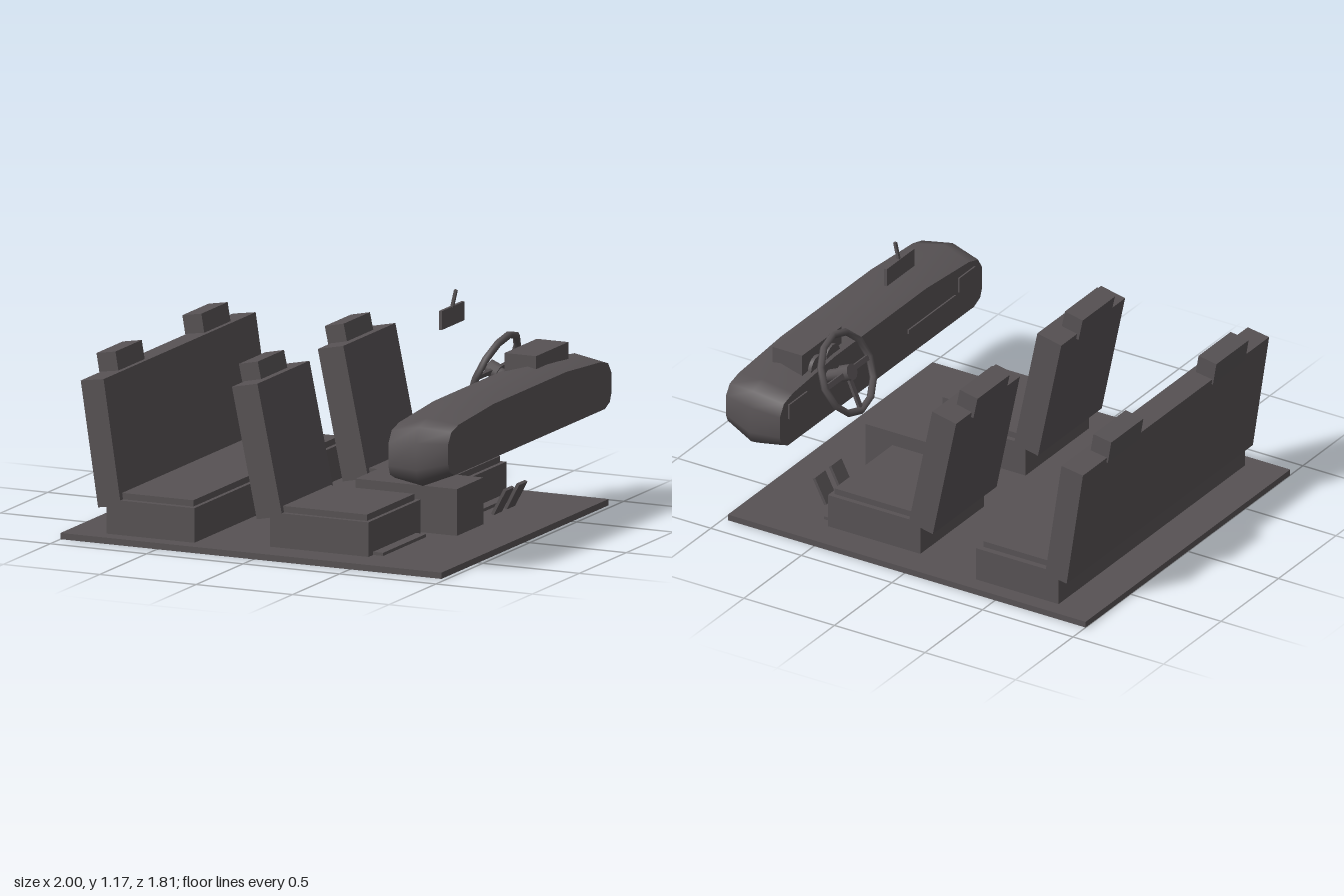
import * as THREE from 'three';

export function createModel() {
  const model = new THREE.Group();
  const trim = new THREE.MeshStandardMaterial({ color: 0x575254 });
  trim.name = 'darkGreyTrim';

  function add(name, geometry, parent = model) {
    const mesh = new THREE.Mesh(geometry, trim);
    mesh.name = name;
    parent.add(mesh);
    return mesh;
  }
  // Box given by its limits on each axis
  function box(name, x0, x1, y0, y1, z0, z1, parent) {
    const mesh = add(name, new THREE.BoxGeometry(x1 - x0, y1 - y0, z1 - z0), parent);
    mesh.position.set((x0 + x1) / 2, (y0 + y1) / 2, (z0 + z1) / 2);
    return mesh;
  }
  // Tilted slab running between two points of the xy plane
  function slab(name, [x0, y0], [x1, y1], thick, width, z, parent) {
    const dx = x1 - x0, dy = y1 - y0;
    const mesh = add(name, new THREE.BoxGeometry(thick, Math.hypot(dx, dy), width), parent);
    mesh.position.set((x0 + x1) / 2, (y0 + y1) / 2, z);
    mesh.rotation.z = Math.atan2(-dx, dy);
    return mesh;
  }
  function group(name) {
    const g = new THREE.Group();
    g.name = name;
    model.add(g);
    return g;
  }

  box('floor', -1, 0.975, 0, 0.03, -0.89, 0.89);

  // Rear bench
  const bench = group('rearBench');
  box('benchBase', -0.8, -0.345, 0.03, 0.195, -0.81, 0.81, bench);
  box('benchCushion', -0.74, -0.365, 0.19, 0.225, -0.78, 0.78, bench);
  slab('benchBack', [-0.785, 0.16], [-0.875, 0.757], 0.12, 1.62, 0, bench);
  for (const z of [-0.46, 0.455])
    slab('benchHeadrest', [-0.889, 0.73], [-0.908, 0.843], 0.1, 0.28, z, bench);

  // Front seats
  for (const z of [-0.46, 0.455]) {
    const seat = group('frontSeat');
    box('seatBase', 0.01, 0.52, 0.03, 0.195, z - 0.277, z + 0.277, seat);
    box('seatCushion', 0.05, 0.5, 0.19, 0.225, z - 0.252, z + 0.252, seat);
    box('seatRail', 0.05, 0.572, 0.03, 0.045, z - 0.228, z + 0.228, seat);
    slab('seatBack', [0.007, 0.168], [-0.122, 0.788], 0.135, 0.555, z, seat);
    slab('seatHeadrest', [-0.147, 0.755], [-0.17, 0.864], 0.1, 0.28, z, seat);
  }

  // Centre console with gear lever
  box('console', 0.165, 0.69, 0.03, 0.253, -0.143, 0.14);
  slab('gearLever', [0.367, 0.25], [0.325, 0.4], 0.017, 0.017, 0);
  box('gearKnob', 0.3, 0.342, 0.393, 0.44, -0.021, 0.021);

  // Pedals
  for (const z of [-0.385, -0.525])
    slab('pedal', [0.64, 0.033], [0.704, 0.155], 0.015, 0.09, z);

  // Dashboard: three rounded sections along x
  const half = [[0.45, 1], [0.87, 0.9], [0.96, 0.82], [1, 0.62], [1, 0.25], [0.98, 0.09], [0.92, 0]];
  const outline = [[0, 1], ...half, [0, 0], ...half.map(([u, v]) => [-u, v]).reverse()];
  const sections = [[0.695, 0.44, 0.725, 0.88], [0.85, 0.42, 0.77, 0.903], [1, 0.48, 0.738, 0.87]];
  const n = outline.length;
  const positions = [], index = [];
  const pushRing = ([x, y0, y1, w]) =>
    outline.forEach(([u, v]) => positions.push(x, y0 + v * (y1 - y0), u * w));
  sections.forEach(pushRing);
  for (let j = 0; j < sections.length - 1; j++)
    for (let i = 0; i < n; i++) {
      const a = j * n + i, b = j * n + (i + 1) % n;
      index.push(a, b, a + n, b, b + n, a + n);
    }
  // Flat end caps have their own corners to keep the rim sharp
  for (const s of [sections[0], sections[2]]) {
    const start = positions.length / 3;
    pushRing(s);
    positions.push(s[0], (s[1] + s[2]) / 2, 0);
    for (let i = 0; i < n; i++) {
      const a = start + i, b = start + (i + 1) % n;
      if (s === sections[2]) index.push(start + n, a, b);
      else index.push(start + n, b, a);
    }
  }
  const dash = new THREE.BufferGeometry();
  dash.setAttribute('position', new THREE.Float32BufferAttribute(positions, 3));
  dash.setIndex(index);
  dash.computeVertexNormals();
  add('dashboard', dash);

  // Dashboard fittings
  box('instrumentHood', 0.73, 0.893, 0.7, 0.823, -0.63, -0.287);
  for (const z of [-0.52, -0.39]) {
    const gauge = add('gauge', new THREE.CylinderGeometry(0.062, 0.062, 0.04, 16));
    gauge.position.set(0.732, 0.715, z);
    gauge.rotation.z = Math.PI / 2;
  }
  box('airVent', 0.687, 0.696, 0.58, 0.655, -0.81, -0.65);
  box('airVent', 0.687, 0.696, 0.58, 0.655, 0.67, 0.81);
  box('gloveBoxHandle', 0.687, 0.696, 0.56, 0.58, 0.23, 0.64);

  // Steering wheel, local z points along the column towards the driver
  const wheel = group('steeringWheel');
  wheel.position.set(0.592, 0.695, -0.457);
  wheel.rotation.order = 'YXZ';
  wheel.rotation.set(-0.42, -Math.PI / 2, 0);
  add('wheelRim', new THREE.TorusGeometry(0.193, 0.018, 6, 12), wheel);
  const hub = add('wheelHub', new THREE.CylinderGeometry(0.04, 0.04, 0.06, 10), wheel);
  hub.rotation.x = Math.PI / 2;
  for (const angle of [0, Math.PI, -Math.PI / 2]) {
    const spoke = add('wheelSpoke', new THREE.BoxGeometry(0.18, 0.026, 0.014), wheel);
    spoke.position.set(0.1 * Math.cos(angle), 0.1 * Math.sin(angle), 0);
    spoke.rotation.z = angle;
  }
  const column = add('steeringColumn', new THREE.CylinderGeometry(0.03, 0.03, 0.2, 10), wheel);
  column.rotation.x = Math.PI / 2;
  column.position.z = -0.09;

  // Rear-view mirror
  box('mirror', 0.587, 0.602, 1.0, 1.09, -0.12, 0.12);
  slab('mirrorStalk', [0.596, 1.08], [0.617, 1.17], 0.014, 0.014, 0);

  return model;
}
